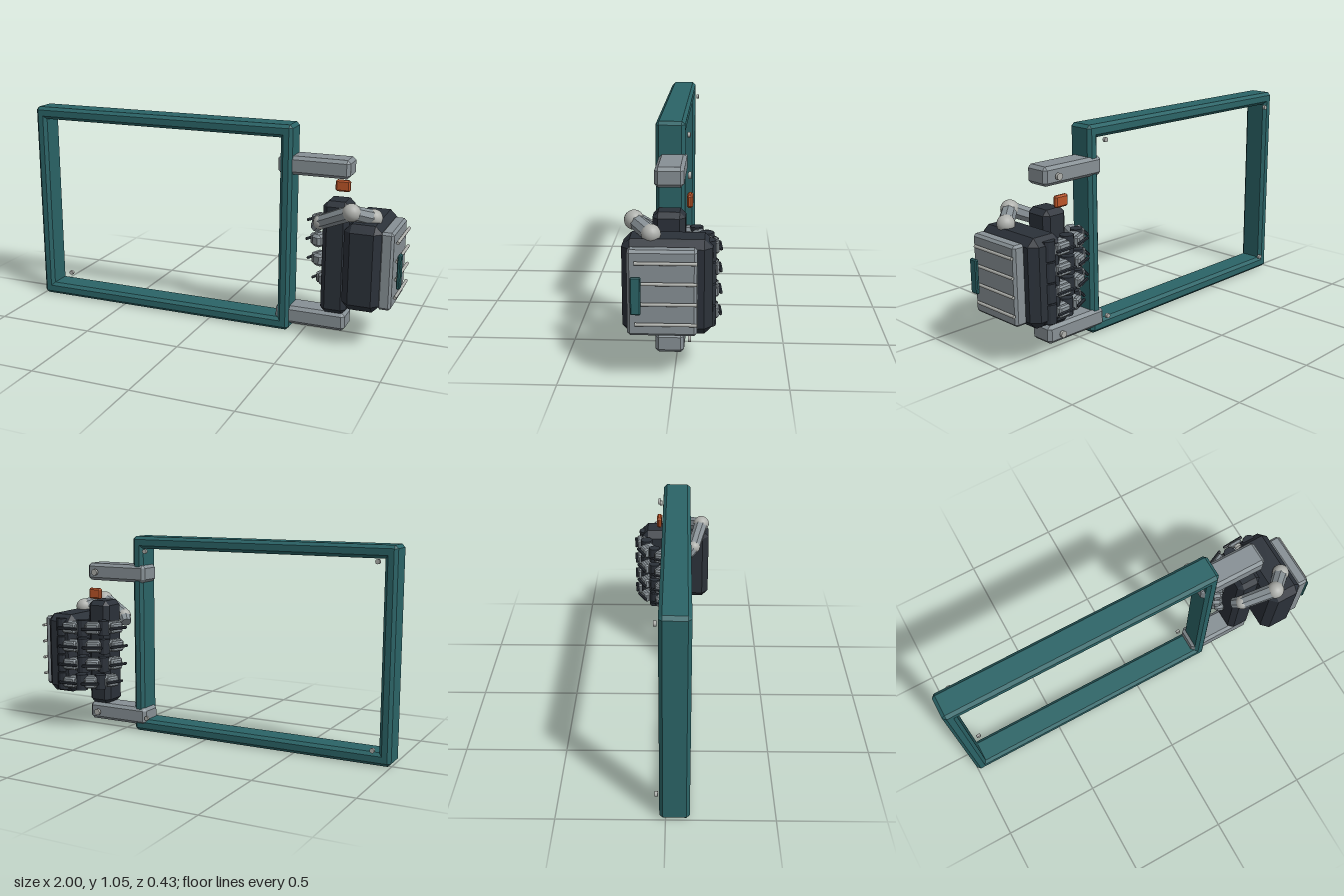
import * as THREE from 'three';
import { ConvexGeometry } from 'three/addons/geometries/ConvexGeometry.js';

const mat = (name, color, flatShading = true) => {
  const m = new THREE.MeshStandardMaterial({ color, flatShading });
  m.name = name;
  return m;
};

// Box with all edges chamfered by c, centred on the origin
function chamferBox(w, h, d, c) {
  const pts = [];
  for (const sx of [-1, 1]) for (const sy of [-1, 1]) for (const sz of [-1, 1]) {
    const x = w / 2, y = h / 2, z = d / 2;
    pts.push(new THREE.Vector3(sx * x, sy * (y - c), sz * (z - c)));
    pts.push(new THREE.Vector3(sx * (x - c), sy * y, sz * (z - c)));
    pts.push(new THREE.Vector3(sx * (x - c), sy * (y - c), sz * z));
  }
  return new ConvexGeometry(pts);
}

export function createModel() {
  const root = new THREE.Group();
  root.name = 'frameHeldByHand';
  const teal = mat('teal', 0x2b6467);
  const dark = mat('charcoal', 0x2b3139);
  const grey = mat('steelGrey', 0x879095);
  const light = mat('lightMetal', 0xaeb0ac, false);
  const orange = mat('orange', 0xbb5528);

  const add = (name, geometry, material, x = 0, y = 0, z = 0, parent = root) => {
    const m = new THREE.Mesh(geometry, material);
    m.name = name;
    m.position.set(x, y, z);
    parent.add(m);
    return m;
  };
  // Chamfered box given by its limits
  const block = (name, material, [x0, x1], [y0, y1], [z0, z1], c) =>
    add(name, chamferBox(x1 - x0, y1 - y0, z1 - z0, c), material,
      (x0 + x1) / 2, (y0 + y1) / 2, (z0 + z1) / 2);
  // Cylinder between two points
  const rod = (name, material, a, b, r0, r1, sides) => {
    const d = b.clone().sub(a);
    const m = add(name, new THREE.CylinderGeometry(r1, r0, d.length(), sides), material);
    m.position.copy(a).add(b).multiplyScalar(0.5);
    m.quaternion.setFromUnitVectors(new THREE.Vector3(0, 1, 0), d.normalize());
    return m;
  };
  const V = (x, y, z) => new THREE.Vector3(x, y, z);

  // Rectangular frame
  const fz = [-0.028, 0.11];
  block('frameLeft', teal, [0.375, 0.435], [0.004, 1.056], fz, 0.016);
  block('frameRight', teal, [-1, -0.94], [0.004, 1.056], fz, 0.016);
  block('frameTop', teal, [-1, 0.435], [0.992, 1.056], fz, 0.016);
  block('frameBottom', teal, [-1, 0.435], [0.004, 0.068], fz, 0.016);
  for (const x of [-0.915, 0.345]) for (const y of [0.083, 0.98])
    rod('frameScrew', light, V(x, y, -0.05), V(x, y, -0.036), 0.012, 0.012, 12);

  // Arms that join the frame and the grip
  for (const y of [0.085, 0.858]) {
    block('bracketArm', grey, [0.36, 0.72], [y - 0.046, y + 0.046], [-0.036, 0.095], 0.016);
    rod('bracketScrew', light, V(0.655, y, -0.066), V(0.655, y, -0.052), 0.017, 0.017, 12);
  }

  // Grip and trigger button
  block('grip', dark, [0.593, 0.725], [0.128, 0.7], [-0.042, 0.105], 0.025);
  block('button', orange, [0.613, 0.688], [0.715, 0.773], [-0.073, -0.047], 0.008);

  // Palm with ribbed back plate
  block('palm', dark, [0.728, 0.912], [0.203, 0.63], [-0.167, 0.225], 0.036);
  block('backPlate', grey, [0.9, 0.965], [0.223, 0.605], [-0.102, 0.196], 0.012);
  for (let i = 0; i < 4; i++) {
    const y = 0.281 + i * 0.0905;
    rod('backRib', light, V(0.977, y, -0.103), V(0.977, y, 0.162), 0.008, 0.008, 8);
  }
  block('statusStrip', teal, [0.982, 1], [0.33, 0.497], [0.134, 0.179], 0.005);

  // Thumb
  const thumb = [V(0.845, 0.643, 0.1), V(0.757, 0.68, 0.18), V(0.597, 0.605, 0.135)];
  const radii = [0.043, 0.044, 0.036];
  thumb.forEach((p, i) => {
    add('thumbJoint', new THREE.SphereGeometry(radii[i], 20, 14), light, p.x, p.y, p.z);
    if (i) rod('thumbSegment', grey, thumb[i - 1], p, 0.039, 0.036, 8);
  });
  rod('thumbTip', grey, thumb[2], V(0.565, 0.57, 0.105), 0.035, 0.028, 8);

  // Four fingers wrapped around the back of the grip
  const shifts = [0.04, 0.01, 0, 0.005];
  for (let f = 0; f < 4; f++) {
    const y = 0.266 + f * 0.0995;
    const finger = new THREE.Group();
    finger.name = 'finger';
    finger.position.y = y;
    root.add(finger);
    const s = shifts[f];
    const path = [[0.81, -0.145], [0.684 + s * 0.4, -0.136], [0.58 + s * 0.8, -0.088], [0.533 + s, 0.015]];
    path.forEach(([x, z], i) => {
      const r = 0.036 - i * 0.003;
      if (i < 3) add('fingerJoint', new THREE.CylinderGeometry(r, r, 0.092 - i * 0.006, 12), dark, x, 0, z, finger);
      if (!i) return;
      const [px, pz] = path[i - 1];
      const len = Math.hypot(x - px, z - pz);
      const seg = new THREE.Group();
      seg.name = 'fingerSegment';
      seg.position.set((x + px) / 2, 0, (z + pz) / 2);
      seg.rotation.y = Math.atan2(pz - z, x - px);
      finger.add(seg);
      add('phalanx', chamferBox(len * 0.95, 0.07 - i * 0.002, 0.058, 0.014), grey, 0, 0, 0, seg);
      add('fingerPad', chamferBox(len * 0.62, 0.056, 0.03, 0.008), grey, 0, 0, 0.036, seg);
      const tendon = add('tendon', new THREE.CapsuleGeometry(0.008, len * 0.85, 2, 6), dark, 0, 0, 0.057, seg);
      tendon.rotation.z = Math.PI / 2;
    });
  }
  return root;
}
